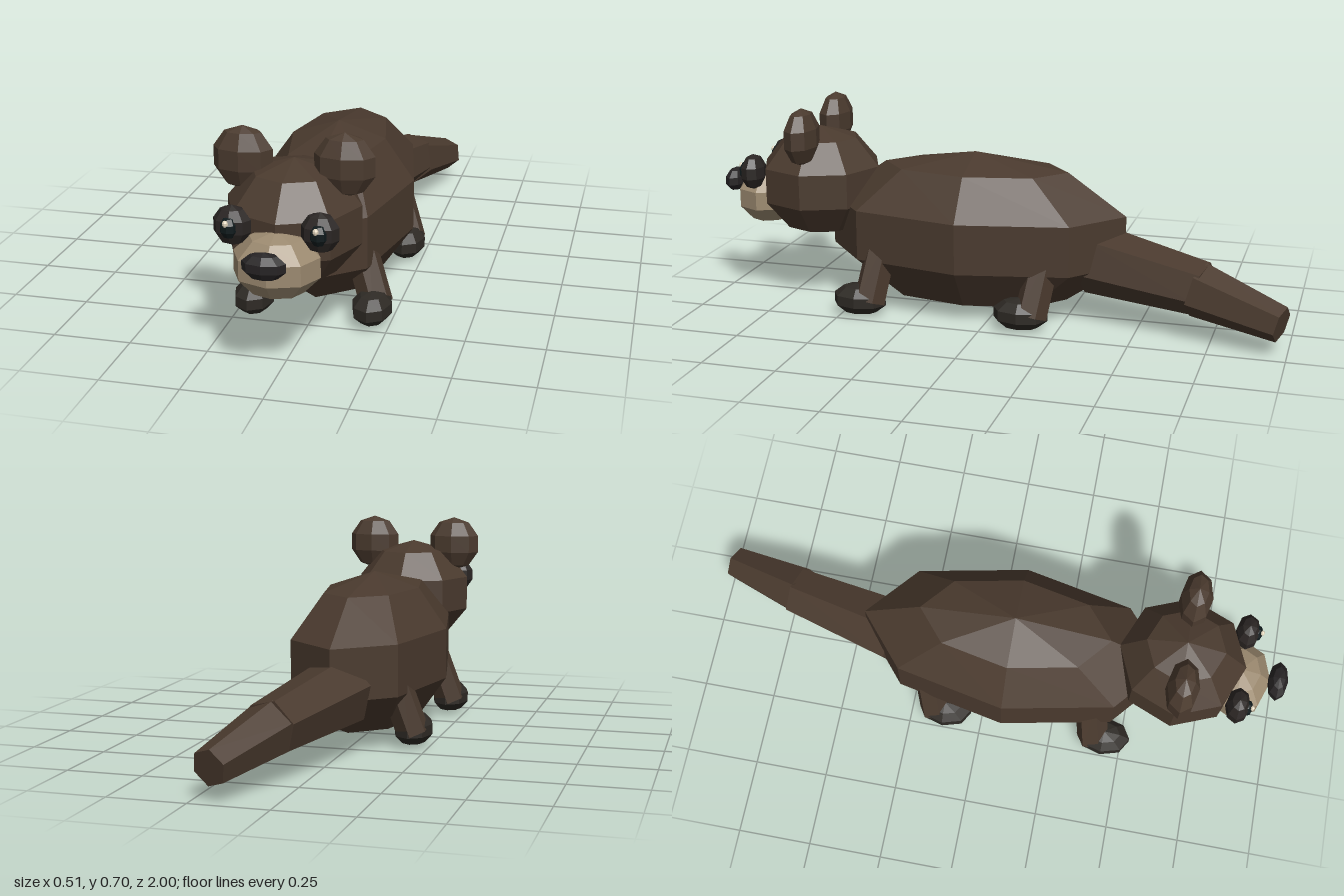
import * as THREE from 'three';

const mat = (color) => new THREE.MeshStandardMaterial({ color, flatShading: true });
const FUR = mat(0x4a3a2e);
const PAW = mat(0x2e2a25);
const MUZZLE = mat(0x9c8a70);
const SOCKET = mat(0x2a2523);
const NOSE = mat(0x262324);
const PUPIL = mat(0x0f1a1c);
const GLINT = mat(0xe0d4bc);

// Faceted ellipsoid with eight sides and five bands
function blob(name, material, pos, radii) {
  const mesh = new THREE.Mesh(new THREE.SphereGeometry(1, 8, 5), material);
  mesh.name = name;
  mesh.position.set(...pos);
  mesh.scale.set(...radii);
  return mesh;
}

// Six-sided tapered limb running from one point to another
function limb(name, material, from, to, r0, r1, turn = 0) {
  const a = new THREE.Vector3(...from);
  const b = new THREE.Vector3(...to);
  const dir = b.clone().sub(a);
  const mesh = new THREE.Mesh(
    new THREE.CylinderGeometry(r1, r0, dir.length(), 6, 1, false, turn), material);
  mesh.name = name;
  mesh.position.copy(a).add(b).multiplyScalar(0.5);
  mesh.quaternion.setFromUnitVectors(new THREE.Vector3(0, 1, 0), dir.normalize());
  return mesh;
}

export function createModel() {
  const model = new THREE.Group();
  model.name = 'animal';

  // Body, head and face
  model.add(
    blob('body', FUR, [0, 0.275, 0.08], [0.267, 0.275, 0.547]),
    blob('head', FUR, [0, 0.4135, 0.64], [0.217, 0.1935, 0.22]),
    blob('muzzle', MUZZLE, [0, 0.35, 0.837], [0.1365, 0.101, 0.114]),
    blob('nose', NOSE, [0, 0.395, 0.967], [0.068, 0.042, 0.0345]),
  );

  for (const [side, s] of [['left', 1], ['right', -1]]) {
    // Ears and eyes
    model.add(
      blob(side + 'Ear', FUR, [s * 0.154, 0.597, 0.645], [0.0962, 0.099, 0.055]),
      blob(side + 'EyeSocket', SOCKET, [s * 0.13, 0.459, 0.84], [0.059, 0.0615, 0.041]),
      blob(side + 'Eye', PUPIL, [s * 0.132, 0.46, 0.862], [0.029, 0.035, 0.03]),
      blob(side + 'EyeGlint', GLINT, [s * 0.132 - 0.004, 0.477, 0.886], [0.009, 0.011, 0.008]),
    );

    // Legs splay outward from the body, each ending in a paw
    for (const [end, z] of [['Front', 0.435], ['Back', -0.13]]) {
      model.add(
        limb(side + end + 'Leg', FUR, [s * 0.2, 0.05, z - 0.035],
          [s * 0.125, 0.28, z - 0.07], 0.055, 0.053),
        blob(side + end + 'Paw', PAW, [s * 0.193, 0.057, z], [0.067, 0.055, 0.097]),
      );
    }
  }

  // Tail in two tapering sections, bending to one side
  model.add(
    limb('tailBase', FUR, [0.0, 0.208, -0.33], [0.1, 0.165, -0.72], 0.119, 0.09, Math.PI / 6),
    limb('tailTip', FUR, [0.1, 0.163, -0.7], [0.19, 0.101, -0.978], 0.092, 0.06, Math.PI / 6),
  );

  return model;
}
